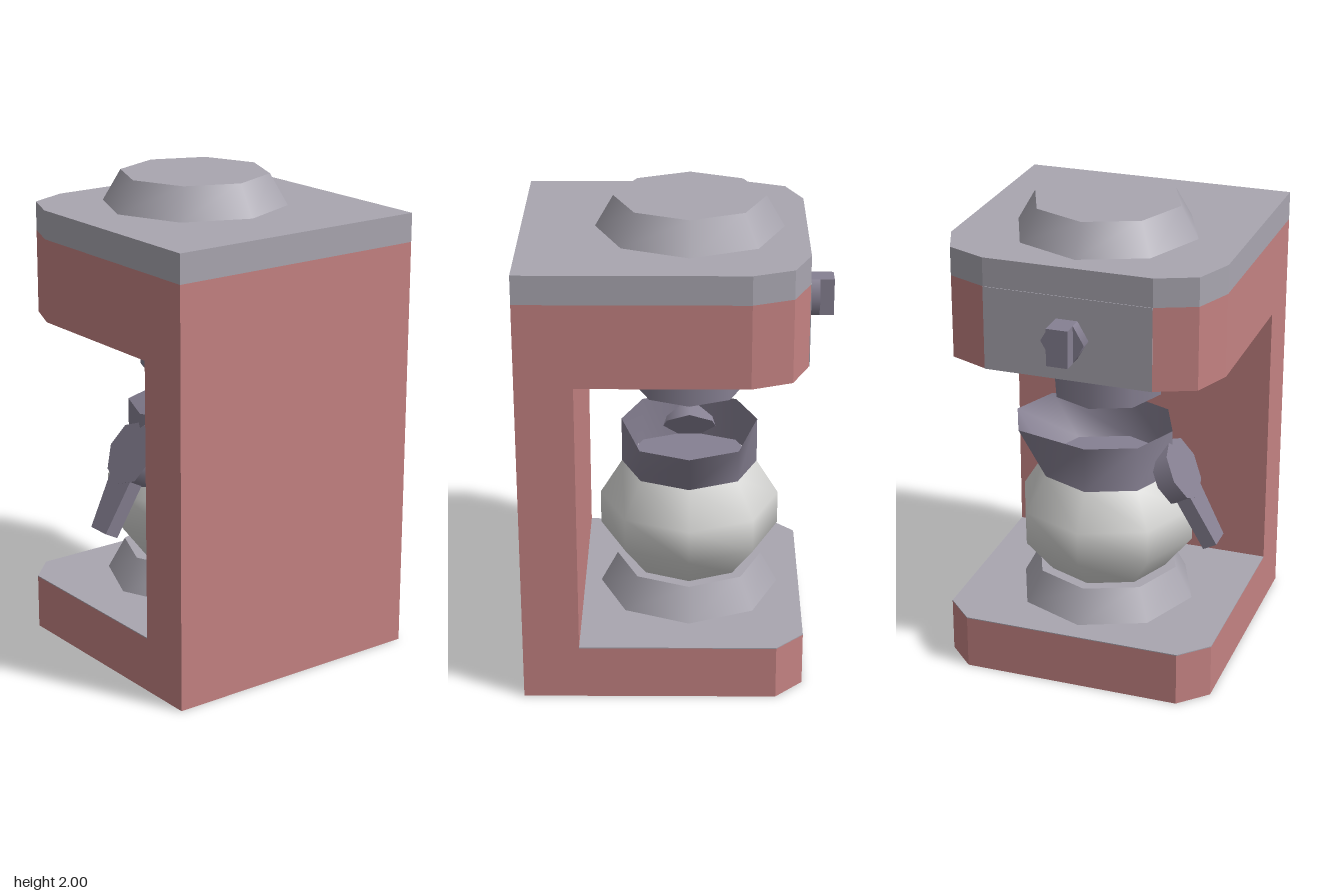
import * as THREE from 'three';

const material = (name, color, side = THREE.FrontSide) => {
  const m = new THREE.MeshStandardMaterial({ color, side });
  m.name = name;
  return m;
};

// Floor outline whose two left-hand corners follow the given points (x, z with z > 0)
function outline(corner, xMax) {
  const pts = [[xMax, 0.58], ...corner];
  const mirrored = pts.map(([x, z]) => [x, -z]).reverse();
  return new THREE.Shape([...pts, ...mirrored].map(([x, z]) => new THREE.Vector2(x, z)));
}

// Horizontal slab from an outline between two heights
function slab(shape, y0, y1) {
  const g = new THREE.ExtrudeGeometry(shape, { depth: y1 - y0, bevelEnabled: false });
  return g.rotateX(-Math.PI / 2).translate(0, y0, 0);
}

export function createModel() {
  const model = new THREE.Group();
  model.name = 'coffeeMachine';
  const red = material('red housing', 0xc48282);
  const grey = material('grey metal', 0xa9a6b0);
  const dark = material('dark metal', 0x868092, THREE.DoubleSide);
  const glass = material('pale glass', 0xd6d6d4);

  const add = (name, geometry, mat, parent = model) => {
    const mesh = new THREE.Mesh(geometry, mat);
    mesh.name = name;
    parent.add(mesh);
    return mesh;
  };

  const CX = -0.048; // axis shared by the pot, warmer and brew head
  const SIDES = 8;
  const chamfer = [[-0.41, 0.58], [-0.525, 0.465]];
  const rounded = [[-0.29, 0.58], [-0.455, 0.515], [-0.525, 0.35]];

  // Housing: base, rear column and overhanging head
  add('base', slab(outline(chamfer, 0.638), 0, 0.23), red);
  add('baseTop', slab(outline(chamfer, 0.405), 0.23, 0.234), grey);
  add('column', new THREE.BoxGeometry(0.233, 1.17, 1.16).translate(0.5215, 0.815, 0), red);
  add('head', slab(outline(rounded, 0.638), 1.4, 1.75), red);
  add('topPlate', slab(outline(rounded, 0.638), 1.75, 1.87), grey);
  add('controlPanel', new THREE.BoxGeometry(0.006, 0.35, 0.7).translate(-0.525, 1.575, 0), grey);

  // Tapered lid and the matching warming plate
  for (const [name, y, h] of [['lid', 1.87, 0.13], ['warmingPlate', 0.23, 0.14]]) {
    add(name, new THREE.CylinderGeometry(0.31, 0.385, h, SIDES).translate(CX, y + h / 2, 0), grey);
  }

  // Brew head
  add('brewHead', new THREE.CylinderGeometry(0.234, 0.234, 0.23, SIDES).translate(CX, 1.285, 0), dark);

  // Knob: six-sided disc and a grip bar
  const knob = new THREE.Group();
  knob.name = 'knob';
  knob.position.set(-0.525, 1.578, 0);
  model.add(knob);
  add('knobDisc', new THREE.CylinderGeometry(0.09, 0.09, 0.056, 6)
    .rotateZ(Math.PI / 2).translate(-0.028, 0, 0), dark, knob);
  add('knobBar', new THREE.BoxGeometry(0.115, 0.156, 0.09).translate(-0.0575, 0, 0), dark, knob);

  // Pot
  const pot = new THREE.Group();
  pot.name = 'pot';
  pot.position.x = CX;
  model.add(pot);
  const profile = [[0.26, 0.37], [0.38, 0.52], [0.38, 0.665], [0.287, 0.815]];
  add('potBowl', new THREE.LatheGeometry(profile.map(([r, y]) => new THREE.Vector2(r, y)), SIDES), glass, pot);
  add('potInside', new THREE.CircleGeometry(0.285, SIDES)
    .rotateX(-Math.PI / 2).translate(0, 0.817, 0), dark, pot);

  // Open collar with its back rim pulled out into a spout
  const collar = new THREE.CylinderGeometry(0.287, 0.287, 0.195, SIDES, 1, true).translate(0, 0.9125, 0);
  const p = collar.attributes.position;
  for (let i = 0; i < p.count; i++) {
    if (p.getY(i) > 0.9 && p.getZ(i) < -0.1) p.setZ(i, p.getZ(i) - 0.12);
  }
  collar.computeVertexNormals();
  add('potCollar', collar, dark, pot);

  // Tilted handle: octagonal hub and tapering grip
  const handle = new THREE.Group();
  handle.name = 'potHandle';
  handle.position.set(0, 0.848, 0.34);
  handle.rotation.x = -0.49;
  pot.add(handle);
  add('handleHub', new THREE.CylinderGeometry(0.14, 0.14, 0.08, SIDES)
    .rotateX(Math.PI / 2).translate(0, 0, -0.04), dark, handle);
  const grip = new THREE.Shape([[-0.075, -0.08], [-0.054, -0.35], [0.054, -0.35], [0.075, -0.08]]
    .map(([x, y]) => new THREE.Vector2(x, y)));
  add('handleGrip', new THREE.ExtrudeGeometry(grip, { depth: 0.065, bevelEnabled: false })
    .translate(0, 0, -0.066), dark, handle);

  return model;
}
